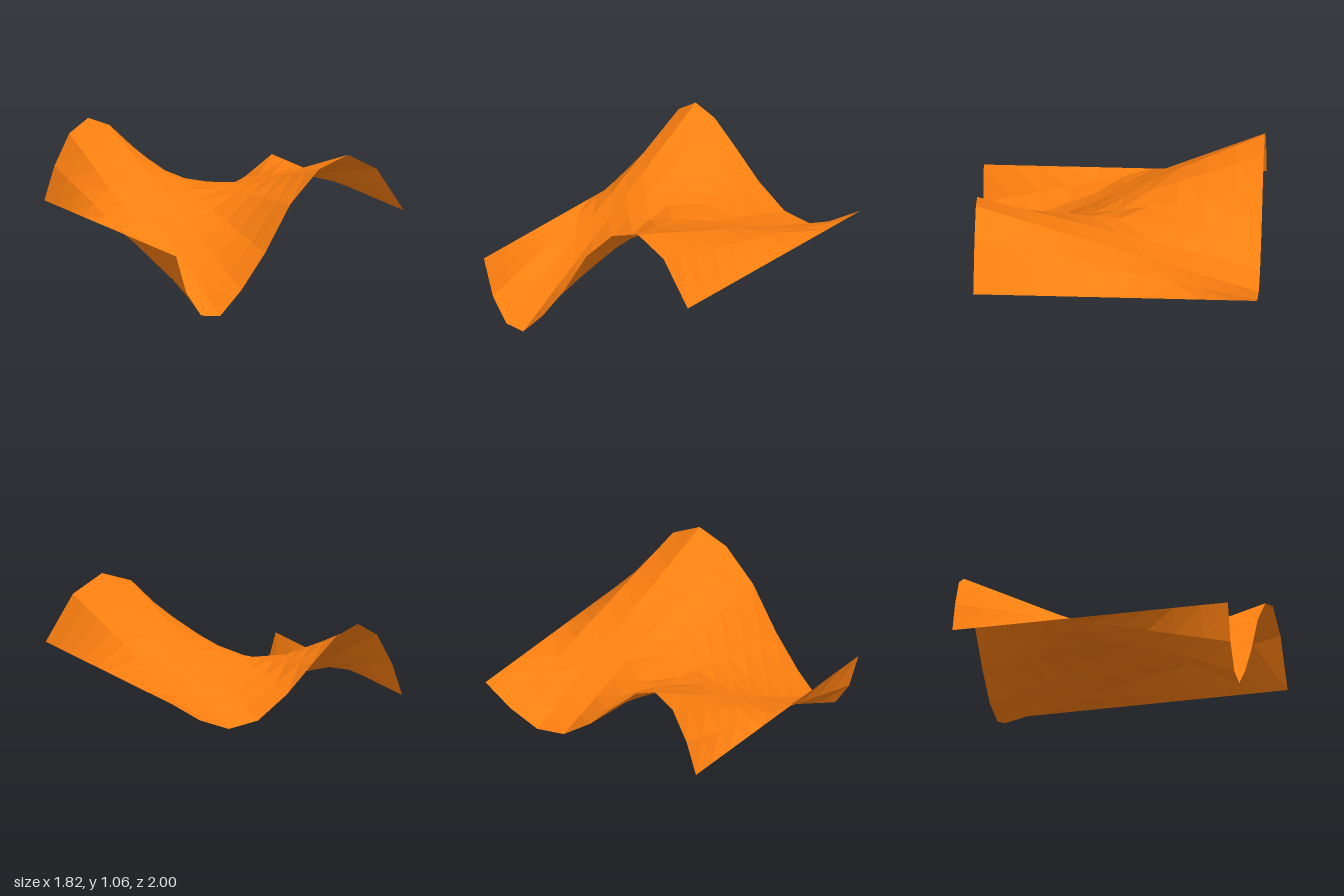
import * as THREE from 'three';

// Shared x stations, with the heights of the front and back edge curves
const xs = [-0.91, -0.83, -0.71, -0.56, -0.39, -0.2, 0, 0.23, 0.46, 0.69, 0.905];
const frontY = [0.47, 0.2, 0.02, 0, 0.17, 0.42, 0.75, 0.98, 1.06, 0.935, 0.61];
const backY = [0.47, 0.71, 0.935, 1.03, 0.96, 0.78, 0.58, 0.415, 0.38, 0.47, 0.61];
const ROWS = 10;

// Ruled surface: straight lines join the back curve (z = -1) to the front curve (z = 1)
function ruledSurface() {
  const cols = xs.length;
  const positions = [];
  const index = [];
  for (let r = 0; r <= ROWS; r++) {
    const t = r / ROWS;
    for (let c = 0; c < cols; c++) {
      positions.push(xs[c], THREE.MathUtils.lerp(backY[c], frontY[c], t), -1 + 2 * t);
    }
  }
  const height = (i) => positions[i * 3 + 1];
  for (let r = 0; r < ROWS; r++) {
    for (let c = 0; c < cols - 1; c++) {
      const a = r * cols + c, b = a + 1, d = a + cols, e = d + 1;
      // Split each cell along its shorter diagonal
      if (Math.abs(height(a) - height(e)) < Math.abs(height(b) - height(d))) {
        index.push(a, d, e, a, e, b);
      } else {
        index.push(a, d, b, b, d, e);
      }
    }
  }
  const geometry = new THREE.BufferGeometry();
  geometry.setAttribute('position', new THREE.Float32BufferAttribute(positions, 3));
  geometry.setIndex(index);
  geometry.computeVertexNormals();
  return geometry;
}

export function createModel() {
  const group = new THREE.Group();
  group.name = 'ruledSurfaceModel';
  const material = new THREE.MeshStandardMaterial({
    color: 0xff8010, flatShading: true, side: THREE.DoubleSide,
  });
  const sheet = new THREE.Mesh(ruledSurface(), material);
  sheet.name = 'wavySheet';
  group.add(sheet);
  return group;
}
